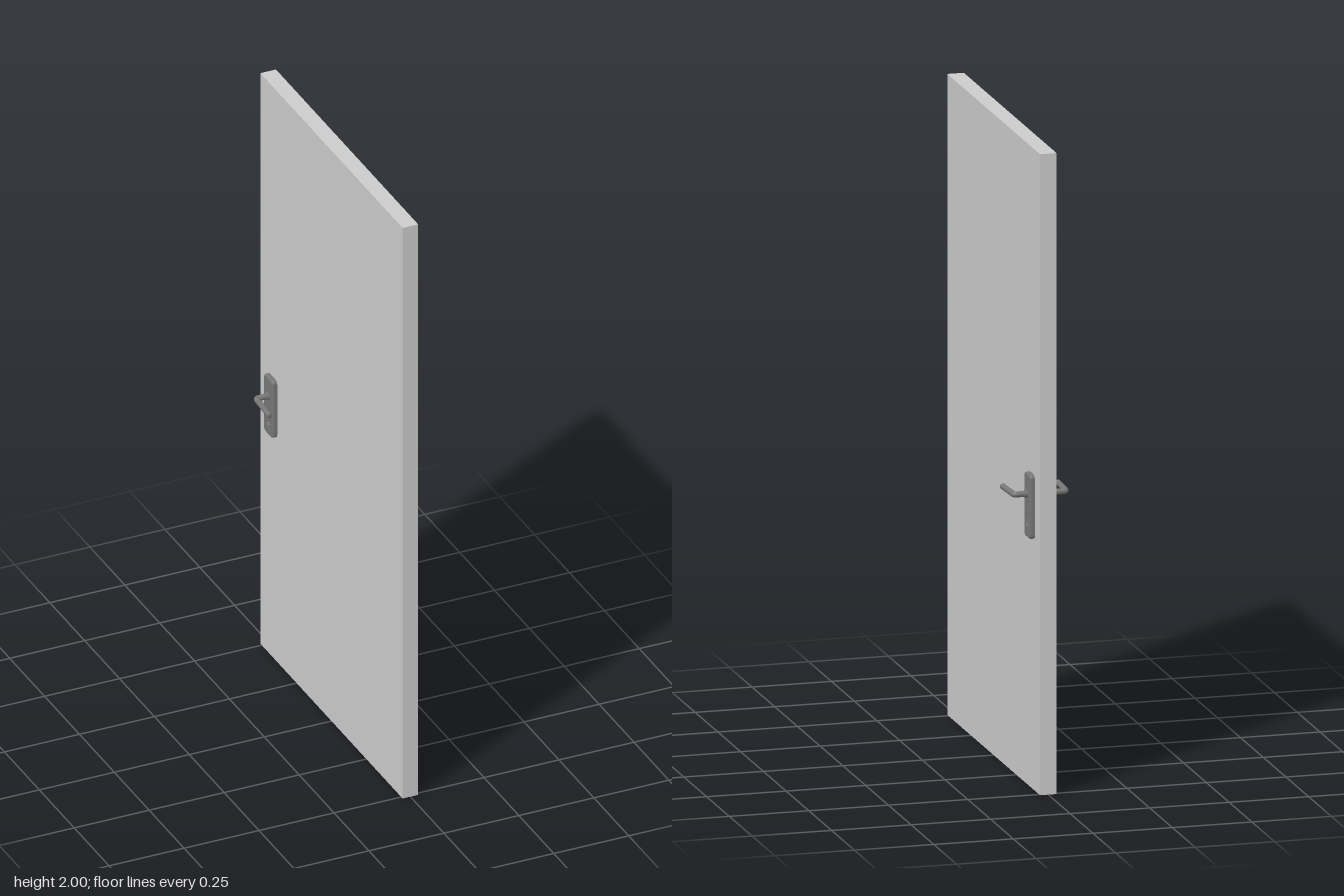
import * as THREE from 'three';

const DOOR = { t: 0.052, h: 2, w: 1.02 };
const HANDLE_Z = -0.421;
const HANDLE_Y = 0.92;

function roundedRect(target, w, h, r, cy = 0) {
  const x = w / 2, y0 = cy - h / 2, y1 = cy + h / 2;
  target.moveTo(-x + r, y0);
  target.lineTo(x - r, y0);
  target.quadraticCurveTo(x, y0, x, y0 + r);
  target.lineTo(x, y1 - r);
  target.quadraticCurveTo(x, y1, x - r, y1);
  target.lineTo(-x + r, y1);
  target.quadraticCurveTo(-x, y1, -x, y1 - r);
  target.lineTo(-x, y0 + r);
  target.quadraticCurveTo(-x, y0, -x + r, y0);
  return target;
}

// Bevelled backplate with a keyhole opening
function plateGeometry() {
  const shape = roundedRect(new THREE.Shape(), 0.065, 0.2, 0.014);
  shape.holes.push(roundedRect(new THREE.Path(), 0.013, 0.03, 0.004, -0.047));
  return new THREE.ExtrudeGeometry(shape, {
    depth: 0.01, bevelThickness: 0.006, bevelSize: 0.005, bevelOffset: -0.005,
    bevelSegments: 2, curveSegments: 5,
  });
}

export function createModel() {
  const model = new THREE.Group();
  const grey = new THREE.MeshStandardMaterial({ color: 0xcccccc });
  const metal = new THREE.MeshStandardMaterial({ color: 0x777777 });
  const dark = new THREE.MeshStandardMaterial({ color: 0x181818 });

  const add = (parent, name, geometry, material, x = 0, y = 0, z = 0) => {
    const mesh = new THREE.Mesh(geometry, material);
    mesh.name = name;
    mesh.position.set(x, y, z);
    parent.add(mesh);
    return mesh;
  };

  add(model, 'doorLeaf', new THREE.BoxGeometry(DOOR.t, DOOR.h, DOOR.w), grey, 0, DOOR.h / 2);

  // Matching handle set on each face of the door
  for (const side of [1, -1]) {
    const set = new THREE.Group();
    set.name = side > 0 ? 'leftHandleSet' : 'rightHandleSet';
    model.add(set);

    const plate = add(set, 'backplate', plateGeometry(), metal, side * (DOOR.t / 2), 0.884, HANDLE_Z);
    plate.rotation.y = side * Math.PI / 2;

    // Dark floor of the keyhole
    add(set, 'keyhole', new THREE.BoxGeometry(0.004, 0.038, 0.02), dark,
      side * (DOOR.t / 2 + 0.002), 0.837, HANDLE_Z);

    // Collar where the stem leaves the plate
    const collar = add(set, 'collar', new THREE.CylinderGeometry(0.0125, 0.0125, 0.012, 20), metal,
      side * 0.043, HANDLE_Y, HANDLE_Z);
    collar.rotation.z = Math.PI / 2;

    // Stem, tight bend and slightly splayed lever in one sweep
    const p = (x, z) => new THREE.Vector3(side * x, HANDLE_Y, z);
    const start = p(0.036, HANDLE_Z), corner = p(0.082, HANDLE_Z), end = p(0.087, -0.313);
    const bendIn = p(0.073, HANDLE_Z), bendOut = p(0.0825, -0.411);
    const path = new THREE.CurvePath();
    path.add(new THREE.LineCurve3(start, bendIn));
    path.add(new THREE.QuadraticBezierCurve3(bendIn, corner, bendOut));
    path.add(new THREE.LineCurve3(bendOut, end));
    add(set, 'lever', new THREE.TubeGeometry(path, 60, 0.0092, 14), metal);

    // Softly domed tip closing the lever
    const tip = add(set, 'leverTip', new THREE.SphereGeometry(0.0092, 14, 6, 0, Math.PI * 2, 0, Math.PI / 2),
      metal, end.x, end.y, end.z);
    tip.scale.y = 0.35;
    tip.quaternion.setFromUnitVectors(new THREE.Vector3(0, 1, 0), end.clone().sub(bendOut).normalize());
  }

  return model;
}
